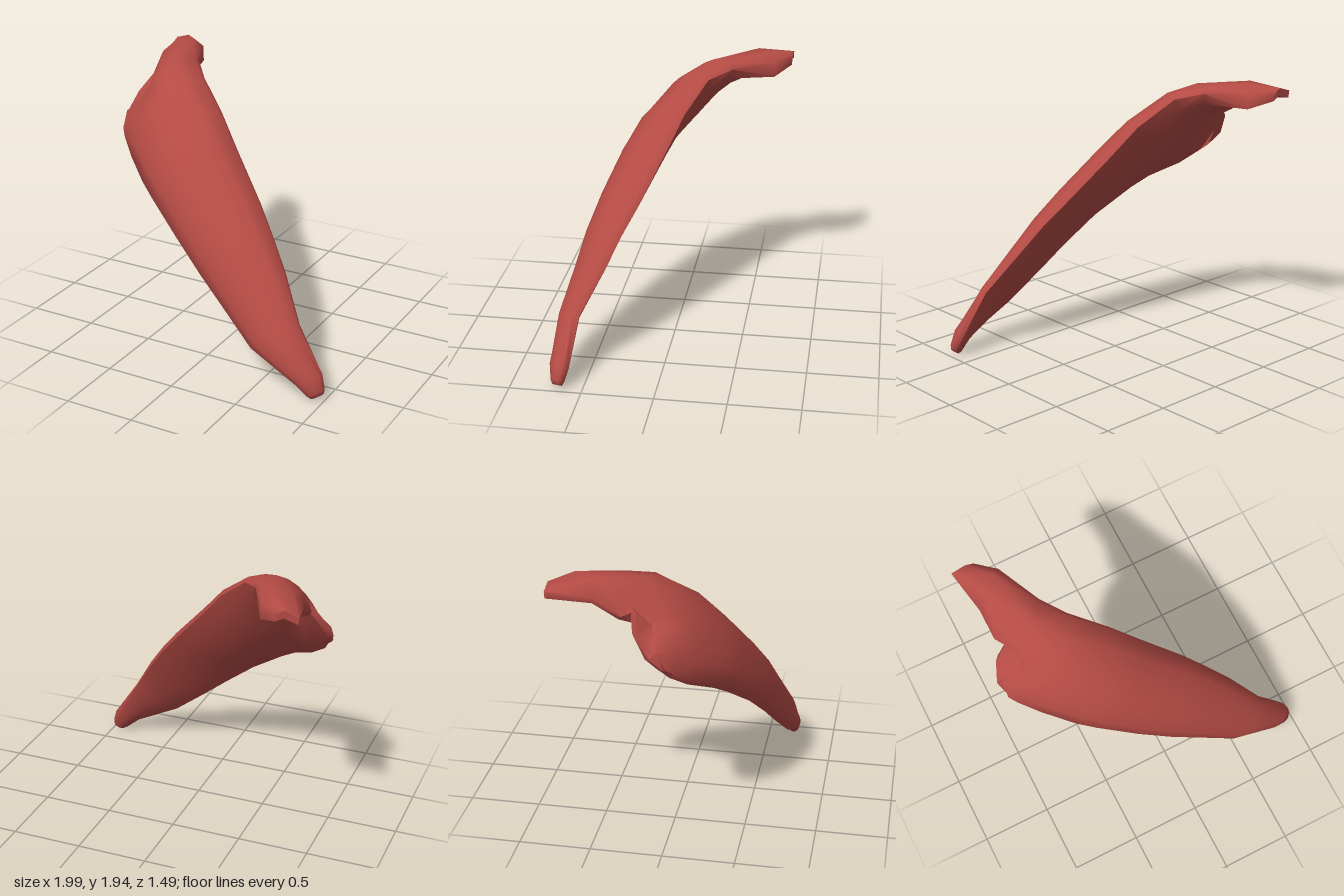
import * as THREE from 'three';
import { toCreasedNormals } from 'three/addons/utils/BufferGeometryUtils.js';

const V = (a) => new THREE.Vector3(...a);
const COLS = 9;

// Belly stations from the narrow tip upward:
// upper edge, lower edge, front bulge, back bulge, edge thickness, skew (below 1 moves the bulge to the upper edge)
const stations = [
  [[0.985, 0.07, 0.64], [0.89, 0.02, 0.71], 0.03, -0.03, 0.015, 1],
  [[0.95, 0.16, 0.61], [0.81, 0.09, 0.725], 0.05, -0.03, 0.02, 1],
  [[0.75, 0.46, 0.57], [0.46, 0.27, 0.70], 0.075, -0.02, 0.02, 1],
  [[0.56, 0.75, 0.42], [0.20, 0.49, 0.63], 0.105, -0.025, 0.025, 1],
  [[0.42, 0.94, 0.33], [0.00, 0.66, 0.58], 0.13, -0.03, 0.025, 1],
  [[0.27, 1.12, 0.23], [-0.24, 0.86, 0.50], 0.15, -0.04, 0.025, 1],
  [[0.00, 1.42, 0.08], [-0.50, 1.05, 0.38], 0.175, -0.05, 0.025, 1],
  [[-0.18, 1.63, -0.02], [-0.62, 1.13, 0.31], 0.175, -0.06, 0.025, 0.95],
  [[-0.41, 1.82, -0.16], [-0.80, 1.23, 0.16], 0.165, -0.06, 0.025, 0.85],
  [[-0.54, 1.87, -0.32], [-0.92, 1.33, 0.06], 0.15, -0.03, 0.025, 0.72],
];

// Torn upper end: the back tab, the notch with its nub, and the cupped lower lobe
const tornRows = [
  [[-0.68, 1.88, -0.64], [-0.74, 1.94, -0.60], [-0.84, 1.93, -0.50], [-0.87, 1.88, -0.38], [-0.83, 1.79, -0.24],
    [-0.80, 1.62, -0.09], [-0.88, 1.57, -0.06], [-0.97, 1.51, -0.03], [-0.97, 1.39, 0.03]],
  [[-0.81, 1.88, -0.75], [-0.87, 1.91, -0.75], [-0.97, 1.88, -0.75], [-0.91, 1.83, -0.45], [-0.90, 1.71, -0.27],
    [-0.86, 1.74, -0.19], [-0.95, 1.62, -0.16], [-1.0, 1.47, -0.07], [-0.96, 1.38, 0.01]],
];

function bellyRing(i) {
  const mid = (s) => V(s[0]).lerp(V(s[1]), 0.5);
  const [u, l, front, back, edge, skew] = stations[i];
  const along = mid(stations[Math.min(i + 1, stations.length - 1)]).sub(mid(stations[Math.max(i - 1, 0)]));
  const n = along.cross(V(l).sub(V(u))).normalize();
  const side = (bulge, e) => Array.from({ length: COLS }, (_, j) => {
    const t = j / (COLS - 1);
    const h = e + bulge * Math.pow(Math.max(0, Math.sin(Math.PI * Math.pow(t, skew))), 0.75);
    return V(u).lerp(V(l), t).addScaledVector(n, h);
  });
  return [...side(front, edge), ...side(back, -edge).reverse()];
}

function tornRing(row, k) {
  const front = row.map(V);
  const scale = k ? 0.5 : 1;
  const back = front.map((p, j) => {
    const t = THREE.MathUtils.smoothstep(j, 1, 6);
    const off = V([0.01, -0.11, 0.01]).lerp(V([0.06, -0.02, -0.07]), t);
    return p.clone().addScaledVector(off, scale);
  });
  return [...front, ...back.reverse()];
}

function loft(rings) {
  const n = 2 * COLS;
  const index = [];
  for (let i = 0; i < rings.length - 1; i++) {
    for (let j = 0; j < n; j++) {
      const a = i * n + j, b = i * n + (j + 1) % n;
      index.push(a, a + n, b + n, a, b + n, b);
    }
  }
  // Close both ends by joining the front row to the back row
  const last = (rings.length - 1) * n;
  for (let j = 0; j < COLS - 1; j++) {
    const f = j, g = j + 1, b = n - 1 - j, c = n - 2 - j;
    index.push(f, g, b, g, c, b);
    index.push(last + f, last + b, last + g, last + g, last + b, last + c);
  }
  const geo = new THREE.BufferGeometry();
  geo.setAttribute('position', new THREE.Float32BufferAttribute(rings.flat().flatMap((p) => p.toArray()), 3));
  geo.setIndex(index);
  return toCreasedNormals(geo, 1.1);
}

export function createModel() {
  const group = new THREE.Group();
  group.name = 'muscle';
  const red = new THREE.MeshStandardMaterial({ color: 0xb54b45, side: THREE.DoubleSide });
  red.name = 'muscle red';

  const rings = stations.map((_, i) => bellyRing(i));
  // Blunt rounded tip
  const c = rings[0].reduce((s, p) => s.add(p), V([0, 0, 0])).divideScalar(2 * COLS);
  rings.unshift(rings[0].map((p) => p.clone().lerp(c, 0.3).add(V([0.012, -0.025, 0.0]))));
  tornRows.forEach((row, k) => rings.push(tornRing(row, k)));

  const belly = new THREE.Mesh(loft(rings), red);
  belly.name = 'muscleBelly';
  group.add(belly);
  return group;
}
